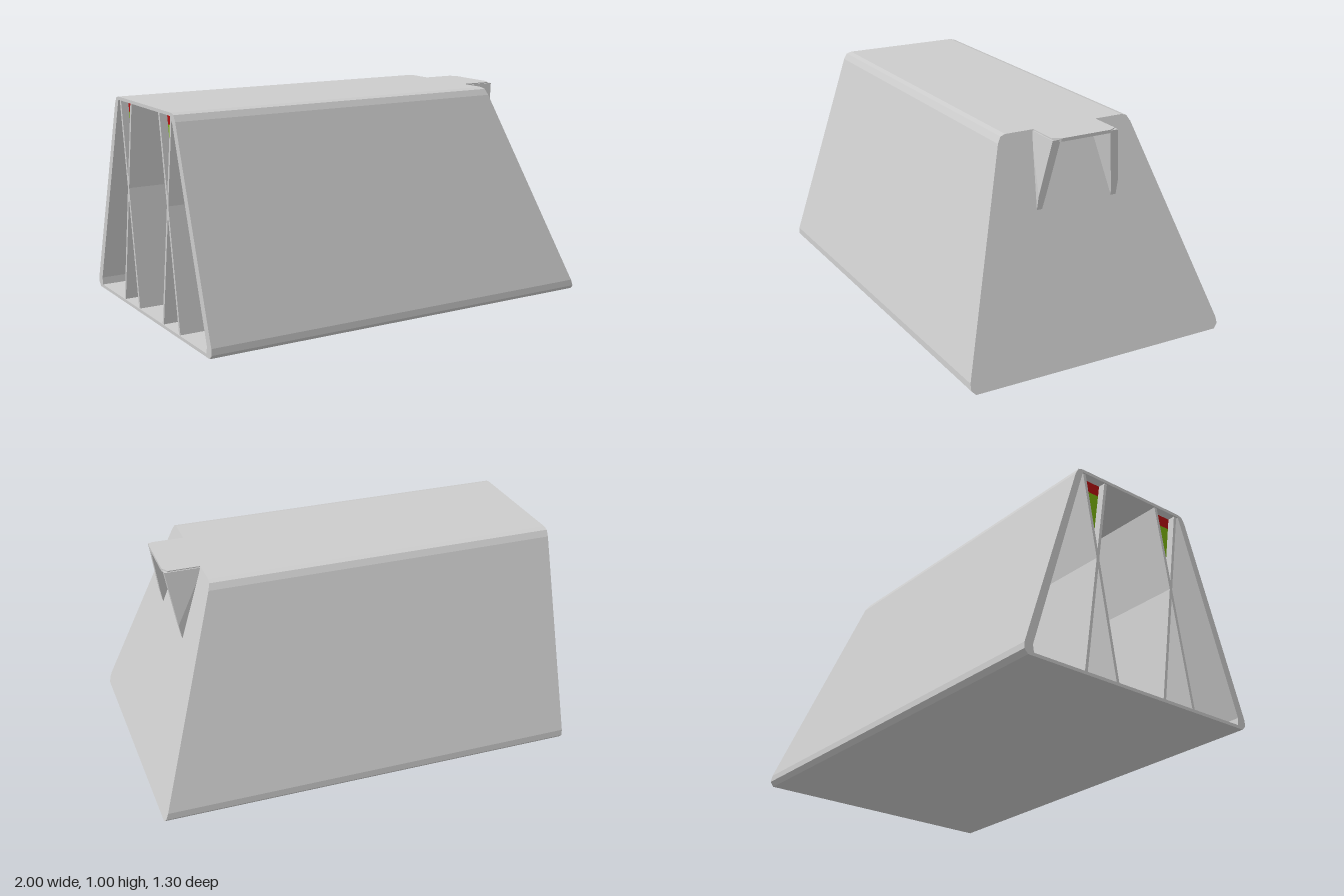
import * as THREE from 'three';

const mat = (color) => new THREE.MeshStandardMaterial({ color, flatShading: true, side: THREE.DoubleSide });
const grey = mat(0xcccccc), red = mat(0xb01010), green = mat(0x78b010);

// Trapezoid with small corner chamfers, drawn across the block (width, height)
const OUTER = [[0.3, 1], [0.325, 0.993], [0.342, 0.965], [0.648, 0.05], [0.65, 0.02], [0.63, 0]];
const INNER = [[0.3, 0.985], [0.605, 0.05], [0.6, 0.015]];
const mirrored = (half) => [...half, ...half.slice().reverse().map(([a, b]) => [-a, b])]
  .map(([a, b]) => new THREE.Vector2(a, b));

// Sloping end of the block
const endX = (y) => 1 - 0.34 * y;

// Extrude a cross-section along x; start and end are functions of height
function alongX(shape, start, end) {
  const g = new THREE.ExtrudeGeometry(shape, { depth: 1, bevelEnabled: false });
  const p = g.attributes.position;
  for (let i = 0; i < p.count; i++) {
    const a = p.getX(i), y = p.getY(i), t = p.getZ(i);
    p.setXYZ(i, start(y) + t * (end(y) - start(y)), y, -a);
  }
  g.computeVertexNormals();
  return g;
}

const polygon = (pts) => new THREE.Shape(pts.map(([a, b]) => new THREE.Vector2(a, b)));

export function createModel() {
  const model = new THREE.Group();
  const add = (name, geometry, material = grey, parent = model) => {
    const mesh = new THREE.Mesh(geometry, material);
    mesh.name = name;
    parent.add(mesh);
    return mesh;
  };

  // Hollow body, open at the -x end
  const ring = new THREE.Shape(mirrored(OUTER));
  ring.holes.push(new THREE.Path(mirrored(INNER)));
  add('bodyShell', alongX(ring, () => -1, (y) => endX(y) - 0.03));

  // Closed sloping end wall
  add('endWall', alongX(new THREE.Shape(mirrored(OUTER)), (y) => endX(y) - 0.03, endX));

  // Crossed braces and coloured bands inside each side
  for (const s of [1, -1]) {
    const side = new THREE.Group();
    side.name = s > 0 ? 'leftBraces' : 'rightBraces';
    model.add(side);
    const brace = (name, z0, z1) => add(name, alongX(polygon([
      [-s * z0, 0.012], [-s * (z0 + 0.015), 0.012], [-s * (z1 + 0.015), 0.988], [-s * z1, 0.988],
    ]), () => -0.995, (y) => endX(y) - 0.03), grey, side);
    brace('outwardBrace', 0.13, 0.28);
    brace('inwardBrace', 0.31, 0.15);

    const bands = [[0.985, 0.93, red], [0.93, 0.74, green], [0.74, 0.66, red]];
    const zIn = (y) => 0.31 - 0.16 * y, zOut = (y) => 0.13 + 0.16 * y;
    for (const [top, low, m] of bands) {
      add('indicatorBand', alongX(polygon([
        [-s * zIn(low), low], [-s * zOut(low), low], [-s * zOut(top), top], [-s * zIn(top), top],
      ]), () => -0.96, () => -0.94), m, side);
    }
  }

  // Open-fronted catch projecting from the top of the sloping end
  const catchGroup = new THREE.Group();
  catchGroup.name = 'catch';
  model.add(catchGroup);
  const plate = new THREE.ExtrudeGeometry(polygon([
    [0.64, -0.16], [0.81, -0.16], [0.83, -0.125], [0.83, 0.125], [0.81, 0.16], [0.64, 0.16],
  ]), { depth: 0.015, bevelEnabled: false });
  plate.rotateX(-Math.PI / 2).translate(0, 0.985, 0);
  add('catchTop', plate, grey, catchGroup);

  // Triangular cheeks that lean outward as they taper down
  for (const s of [1, -1]) {
    const g = new THREE.ExtrudeGeometry(
      polygon([[0.65, 0.995], [0.77, 0.665], [0.785, 0.74], [0.827, 0.995]]),
      { depth: 1, bevelEnabled: false });
    const p = g.attributes.position;
    for (let i = 0; i < p.count; i++) {
      const drop = 1 - p.getY(i);
      const inner = 0.125 + 0.165 * drop, outer = Math.min(0.165 + 0.175 * drop, 0.205);
      const t = s > 0 ? p.getZ(i) : 1 - p.getZ(i);
      p.setZ(i, s * (inner + t * (outer - inner)));
    }
    g.computeVertexNormals();
    add(s > 0 ? 'leftCheek' : 'rightCheek', g, grey, catchGroup);
  }
  return model;
}
